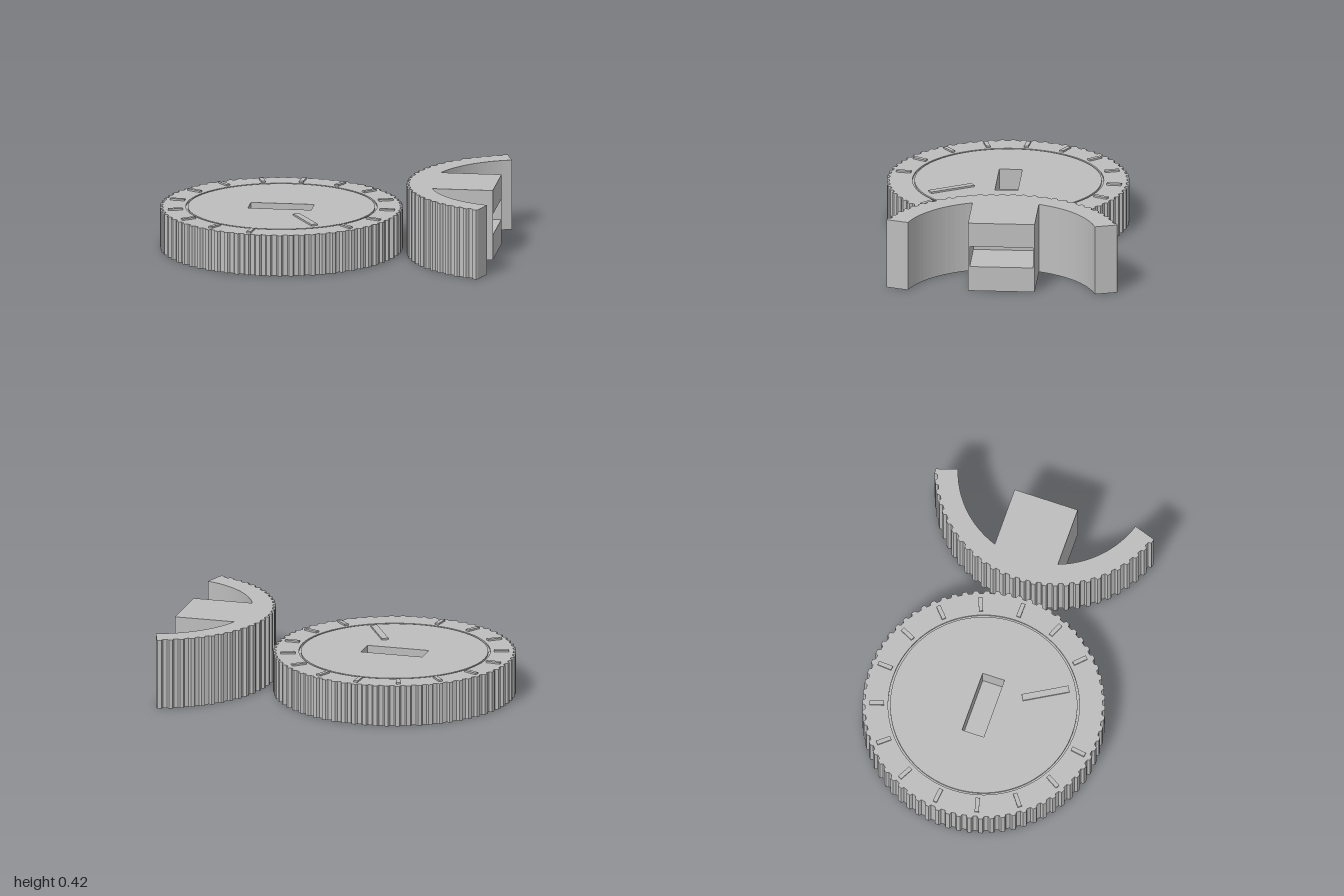
import * as THREE from 'three';

const grey = new THREE.MeshStandardMaterial({ color: 0xbdbdbd });
grey.name = 'plain grey';

const TEETH = 68;
// one tooth: [fraction of pitch, radius]
const TOOTH = [[0.04, 0.705], [0.12, 0.713], [0.46, 0.713], [0.54, 0.705], [0.6, 0.697], [0.98, 0.697]];

// toothed outline between two angles, about a centre
function toothedPoints(cx, cy, from, to) {
  const pitch = (2 * Math.PI) / TEETH;
  const points = [];
  for (let i = 0; i * pitch < to - from - 0.001; i++) {
    for (const [f, r] of TOOTH) {
      const a = from + (i + f) * pitch;
      if (a < to) points.push(new THREE.Vector2(cx + r * Math.cos(a), cy + r * Math.sin(a)));
    }
  }
  return points;
}

// plan shape (x, -z) raised from y0 to y1
function slab(name, shape, y0, y1) {
  const geometry = new THREE.ExtrudeGeometry(shape, { depth: y1 - y0, bevelEnabled: false, curveSegments: 48 });
  geometry.rotateX(-Math.PI / 2).translate(0, y0, 0);
  const mesh = new THREE.Mesh(geometry, grey);
  mesh.name = name;
  return mesh;
}

// box given by its limits
function box(name, x0, x1, y0, y1, z0, z1) {
  const mesh = new THREE.Mesh(new THREE.BoxGeometry(x1 - x0, y1 - y0, z1 - z0), grey);
  mesh.position.set((x0 + x1) / 2, (y0 + y1) / 2, (z0 + z1) / 2);
  mesh.name = name;
  return mesh;
}

function circlePath(PathType, r) {
  const path = new PathType();
  path.absarc(0, 0, r, 0, 2 * Math.PI, false);
  return path;
}

function createDial() {
  const dial = new THREE.Group();
  dial.name = 'dial';
  const gear = () => new THREE.Shape(toothedPoints(0, 0, 0, 2 * Math.PI));
  const slot = () => new THREE.Path([[-0.19, -0.065], [0.185, -0.065], [0.185, 0.07], [-0.19, 0.07]]
    .map(([x, y]) => new THREE.Vector2(x, y)));

  // solid base, then the slotted body
  dial.add(slab('dialBase', gear(), 0, 0.12));
  const body = gear();
  body.holes.push(slot());
  dial.add(slab('dialBody', body, 0.12, 0.236));

  // top face split by a narrow ring groove
  const rim = gear();
  rim.holes.push(circlePath(THREE.Path, 0.562));
  dial.add(slab('dialRim', rim, 0.236, 0.246));
  const face = circlePath(THREE.Shape, 0.55);
  face.holes.push(slot());
  dial.add(slab('dialFace', face, 0.236, 0.246));

  // raised radial bars: scale marks and the pointer
  const bar = (name, angle, r0, r1, width) => {
    const mark = box(name, r0, r1, 0.24, 0.256, -width / 2, width / 2);
    const pivot = new THREE.Group();
    pivot.name = name + 'Pivot';
    pivot.rotation.y = -THREE.MathUtils.degToRad(angle);
    pivot.add(mark);
    dial.add(pivot);
  };
  for (let i = 0; i < 15; i++) bar('scaleMark', 99 + i * 21.86, 0.585, 0.672, 0.025);
  bar('pointer', 60, 0.23, 0.51, 0.04);

  dial.position.x = -0.287;
  return dial;
}

function createHolder() {
  const holder = new THREE.Group();
  holder.name = 'holder';

  // toothed arc wall
  const cx = 1.167, cy = 0.05, span = THREE.MathUtils.degToRad(73);
  const a0 = Math.PI - span, a1 = Math.PI + span, inner = 0.576;
  const points = toothedPoints(cx, cy, a0, a1);
  const steps = 48;
  for (let i = 0; i <= steps; i++) {
    const a = a1 + ((a0 - a1) * i) / steps;
    points.push(new THREE.Vector2(cx + inner * Math.cos(a), cy + inner * Math.sin(a)));
  }
  holder.add(slab('arcWall', new THREE.Shape(points), 0, 0.42));

  // block with a deep slot in its end
  const x0 = 0.57, x1 = 0.985, z0 = -0.245, z1 = 0.147, lo = 0.15, hi = 0.275, wall = 0.01;
  holder.add(
    box('blockBottom', x0, x1, 0, lo, z0, z1),
    box('blockTop', x0, x1, hi, 0.42, z0, z1),
    box('blockBack', x0, 0.68, lo, hi, z0, z1),
    box('blockSide', 0.68, x1, lo, hi, z0, z0 + wall),
    box('blockSide', 0.68, x1, lo, hi, z1 - wall, z1)
  );
  return holder;
}

export function createModel() {
  const model = new THREE.Group();
  model.name = 'dialAndHolder';
  model.add(createDial(), createHolder());
  return model;
}
